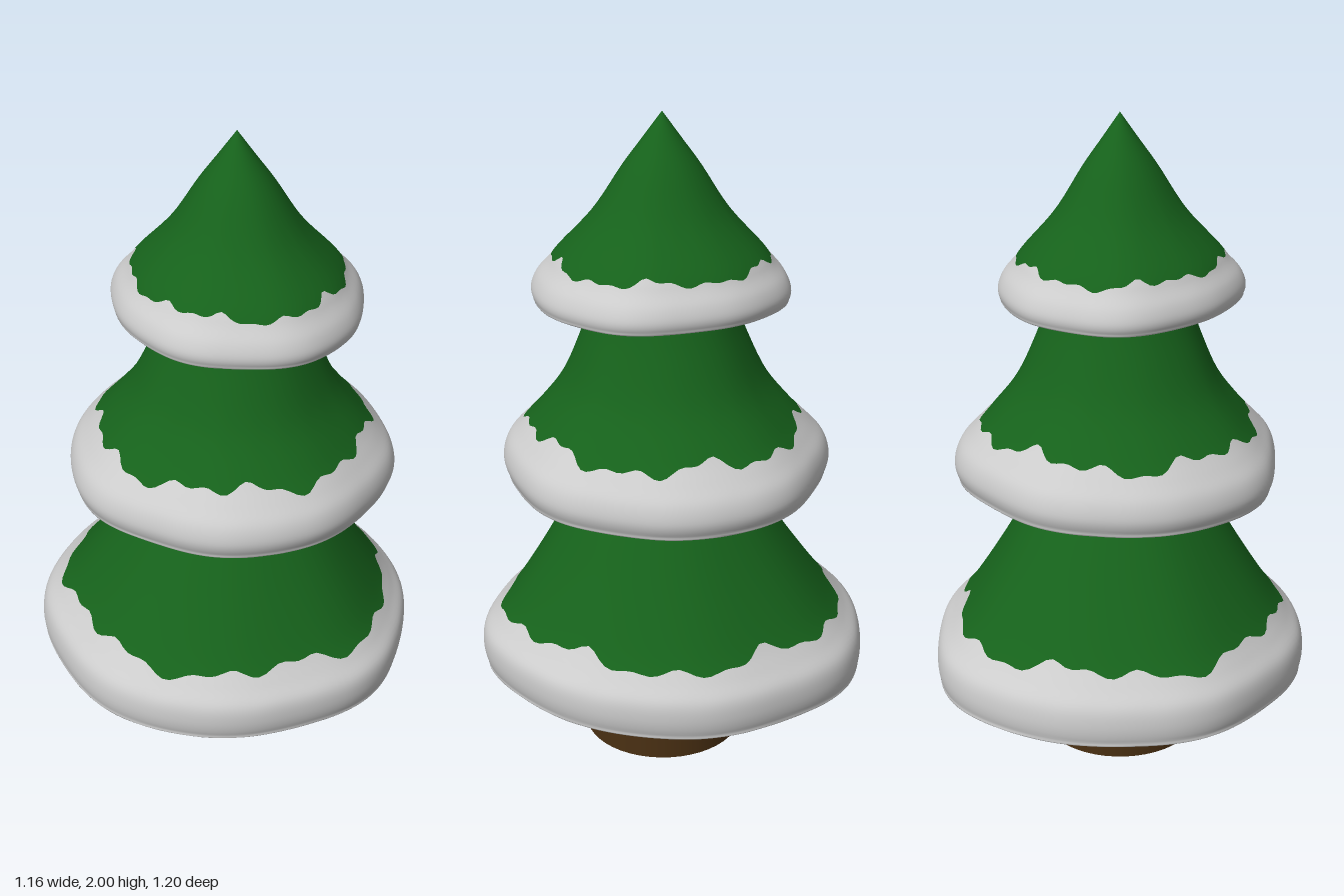
import * as THREE from 'three';

const SEGMENTS = 144;
const green = new THREE.MeshStandardMaterial({ color: 0x16621b });
const snow = new THREE.MeshStandardMaterial({ color: 0xcccccc });
const bark = new THREE.MeshStandardMaterial({ color: 0x4a3013 });
const AXIS = { x: 0.015, z: 0.04 };

// Each profile runs [radius, height] from the tip, over the rim (points 7-9), to the middle of the underside.
const tiers = [
  {
    name: 'lowerTier', x: 0, z: 0, zScale: 1.035, phase: 0.4, wobble: 0.012,
    profile: [[0.2, 0.95], [0.235, 0.88], [0.3, 0.77], [0.39, 0.62], [0.475, 0.49], [0.525, 0.43],
      [0.566, 0.385], [0.577, 0.33], [0.57, 0.28], [0.55, 0.265], [0.38, 0.28], [0, 0.29]],
  },
  {
    name: 'middleTier', x: 0.012, z: 0.025, zScale: 1, phase: 2.1, wobble: 0.011,
    profile: [[0.17, 1.52], [0.205, 1.45], [0.245, 1.34], [0.307, 1.2], [0.385, 1.095], [0.44, 1.035],
      [0.48, 0.99], [0.495, 0.94], [0.485, 0.9], [0.465, 0.885], [0.32, 0.9], [0, 0.91]],
  },
  {
    name: 'upperTier', x: 0.015, z: 0.043, zScale: 1.06, phase: 4.0, wobble: 0.009,
    profile: [[0, 2], [0.055, 1.92], [0.11, 1.84], [0.19, 1.71], [0.285, 1.6], [0.315, 1.56],
      [0.345, 1.525], [0.36, 1.49], [0.357, 1.463], [0.34, 1.45], [0.23, 1.46], [0, 1.47]],
  },
];

// Ragged wave around the tree, roughly -1 to 1
const ragged = (a, phase) =>
  0.4 * Math.sin(5 * a + phase) + 0.35 * Math.sin(11 * a + 2 * phase) + 0.25 * Math.sin(23 * a + 3 * phase);

// A band of the tier's surface between two positions along its profile, both varying with angle
function band(point, from, to, rows) {
  const positions = [];
  const index = [];
  for (let i = 0; i <= rows; i++) {
    for (let j = 0; j < SEGMENTS; j++) {
      const a = (j / SEGMENTS) * Math.PI * 2;
      positions.push(...point(THREE.MathUtils.lerp(from(a), to(a), i / rows), a));
    }
  }
  for (let i = 0; i < rows; i++) {
    for (let j = 0; j < SEGMENTS; j++) {
      const k = (j + 1) % SEGMENTS;
      const a = i * SEGMENTS + j, b = i * SEGMENTS + k;
      index.push(a, a + SEGMENTS, b + SEGMENTS, a, b + SEGMENTS, b);
    }
  }
  const geometry = new THREE.BufferGeometry();
  geometry.setAttribute('position', new THREE.Float32BufferAttribute(positions, 3));
  geometry.setIndex(index);
  geometry.computeVertexNormals();
  return geometry;
}

function createTier({ name, x, z, zScale, phase, wobble, profile }) {
  const tier = new THREE.Group();
  tier.name = name;
  const curve = new THREE.SplineCurve(profile.map(([r, y]) => new THREE.Vector2(r, y)));
  const last = profile.length - 1;
  const top = profile[0][1], base = profile[9][1], rim = profile[7][0];

  // Surface point: the outline grows more uneven, and drifts off the trunk axis, towards the rim
  const point = (t, a) => {
    const p = curve.getPoint(t / last);
    const spread = Math.max(0, p.x) / rim;
    const drop = Math.min(1, (top - p.y) / (top - base));
    const uneven = 0.5 * Math.sin(3 * a + phase) + 0.5 * Math.sin(5 * a + 2 * phase)
      + 0.3 * Math.sin(8 * a + phase);
    const r = Math.max(0, p.x) + wobble * uneven * spread * spread;
    return [
      THREE.MathUtils.lerp(AXIS.x, x, drop) + r * Math.sin(a),
      p.y + 0.005 * spread * spread * Math.sin(2 * a + phase),
      THREE.MathUtils.lerp(AXIS.z, z, drop) + r * zScale * Math.cos(a),
    ];
  };

  // Snow edge on the branches and beneath the rim
  const snowTop = (a) => 4.45 + 0.5 * ragged(a, phase);
  const snowUnder = (a) => 9.7 + 0.22 * ragged(a, phase + 1);
  const parts = [
    ['branches', green, () => 0, snowTop, 20],
    ['snowRim', snow, snowTop, snowUnder, 26],
    ['underside', green, snowUnder, () => last, 6],
  ];
  for (const [part, material, from, to, rows] of parts) {
    const mesh = new THREE.Mesh(band(point, from, to, rows), material);
    mesh.name = part;
    tier.add(mesh);
  }
  return tier;
}

export function createModel() {
  const tree = new THREE.Group();
  tree.name = 'snowyTree';

  const trunk = new THREE.Mesh(new THREE.CylinderGeometry(0.25, 0.25, 0.32, 48), bark);
  trunk.name = 'trunk';
  trunk.position.set(AXIS.x, 0.16, AXIS.z);
  tree.add(trunk);

  for (const tier of tiers) tree.add(createTier(tier));
  return tree;
}
